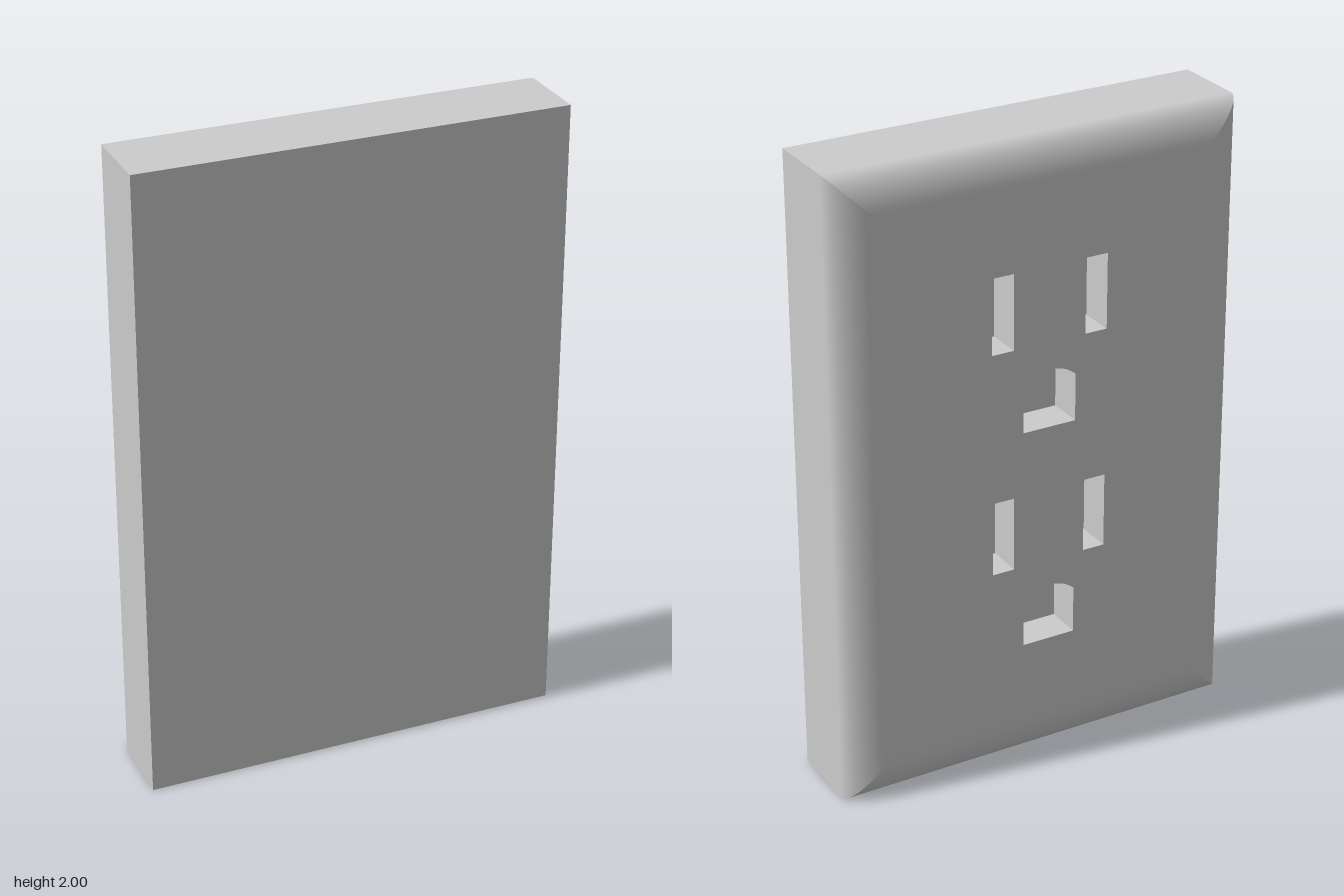
import * as THREE from 'three';

// Wall plate, modelled facing +z and then turned so its slotted face looks to -z.
const W = 0.663, H = 1, Z = 0.153;    // half width, half height, half thickness
const RIM = 0.13, DROP = 0.075;       // rounded rim: reach across the face, depth
const FLOOR = Z - 0.115;              // bottom of the slots
const CX = 0.014;                     // centre line of the slots

const material = new THREE.MeshStandardMaterial({ color: 0xcccccc });

function addMesh(parent, name, geometry) {
  const mesh = new THREE.Mesh(geometry, material);
  mesh.name = name;
  parent.add(mesh);
  return mesh;
}

// Corners of the plate outline, inset by d, anticlockwise
const corners = d => [
  [-W + d, -H + d], [W - d, -H + d], [W - d, H - d], [-W + d, H - d],
];

// One side of the plate with its rounded edge, mitred at both ends
function sideGeometry(k) {
  const profile = [[0, -Z]];
  const steps = 14;
  for (let i = 0; i <= steps; i++) {
    const a = (i / steps) * Math.PI / 2;
    profile.push([RIM * (1 - Math.cos(a)), Z - DROP + DROP * Math.sin(a)]);
  }
  const positions = [], index = [];
  profile.forEach(([d, z], i) => {
    const c = corners(d);
    positions.push(...c[k], z, ...c[(k + 1) % 4], z);
    if (i > 0) {
      const n = 2 * i;
      index.push(n - 2, n - 1, n + 1, n - 2, n + 1, n);
    }
  });
  const g = new THREE.BufferGeometry();
  g.setAttribute('position', new THREE.Float32BufferAttribute(positions, 3));
  g.setIndex(index);
  g.computeVertexNormals();
  return g;
}

// Inward-facing walls of a pocket with an anticlockwise outline
function pocketWalls(points) {
  const positions = [];
  points.forEach((p, i) => {
    const q = points[(i + 1) % points.length];
    positions.push(
      p.x, p.y, Z, q.x, q.y, Z, q.x, q.y, FLOOR,
      p.x, p.y, Z, q.x, q.y, FLOOR, p.x, p.y, FLOOR);
  });
  const g = new THREE.BufferGeometry();
  g.setAttribute('position', new THREE.Float32BufferAttribute(positions, 3));
  g.computeVertexNormals();
  return g;
}

function bladeSlot(x, y) {
  const w = 0.036, h = 0.119;
  return [[-w, -h], [w, -h], [w, h], [-w, h]].map(([a, b]) => new THREE.Vector2(x + a, y + b));
}

// Ground opening: flat bottom and sides, shallow arched top
function groundSlot(x, bottom) {
  const w = 0.087, side = 0.151, sag = 0.034;
  const r = (w * w + sag * sag) / (2 * sag);
  const cy = bottom + side + sag - r;
  const half = Math.asin(w / r);
  const points = [new THREE.Vector2(x - w, bottom), new THREE.Vector2(x + w, bottom)];
  for (let i = 0; i <= 10; i++) {
    const a = half * (1 - i / 5);
    points.push(new THREE.Vector2(x + r * Math.sin(a), cy + r * Math.cos(a)));
  }
  return points;
}

export function createModel() {
  const model = new THREE.Group();
  model.name = 'wallOutlet';
  const plate = new THREE.Group();
  plate.name = 'plate';
  plate.position.y = H;
  plate.rotation.y = Math.PI;
  model.add(plate);

  // Sides with rounded rim
  ['bottomSide', 'rightSide', 'topSide', 'leftSide'].forEach((name, k) =>
    addMesh(plate, name, sideGeometry(k)));

  // Plain rear panel
  const rear = addMesh(plate, 'plainPanel', new THREE.PlaneGeometry(2 * W, 2 * H));
  rear.position.z = -Z;
  rear.rotation.y = Math.PI;

  // Two sockets, each with two blade slots and a ground opening
  const face = new THREE.Shape(corners(RIM).map(c => new THREE.Vector2(...c)));
  [['upper', 0.5], ['lower', -0.215]].forEach(([label, y]) => {
    const socket = new THREE.Group();
    socket.name = label + 'Socket';
    plate.add(socket);
    const openings = {
      leftBladeSlot: bladeSlot(CX - 0.155, y),
      rightBladeSlot: bladeSlot(CX + 0.155, y),
      groundSlot: groundSlot(CX, y - 0.39),
    };
    for (const [name, points] of Object.entries(openings)) {
      face.holes.push(new THREE.Path(points));
      addMesh(socket, name + 'Walls', pocketWalls(points));
      addMesh(socket, name + 'Floor', new THREE.ShapeGeometry(new THREE.Shape(points))).position.z = FLOOR;
    }
  });

  // Flat slotted face
  addMesh(plate, 'slottedFace', new THREE.ShapeGeometry(face)).position.z = Z;
  return model;
}
